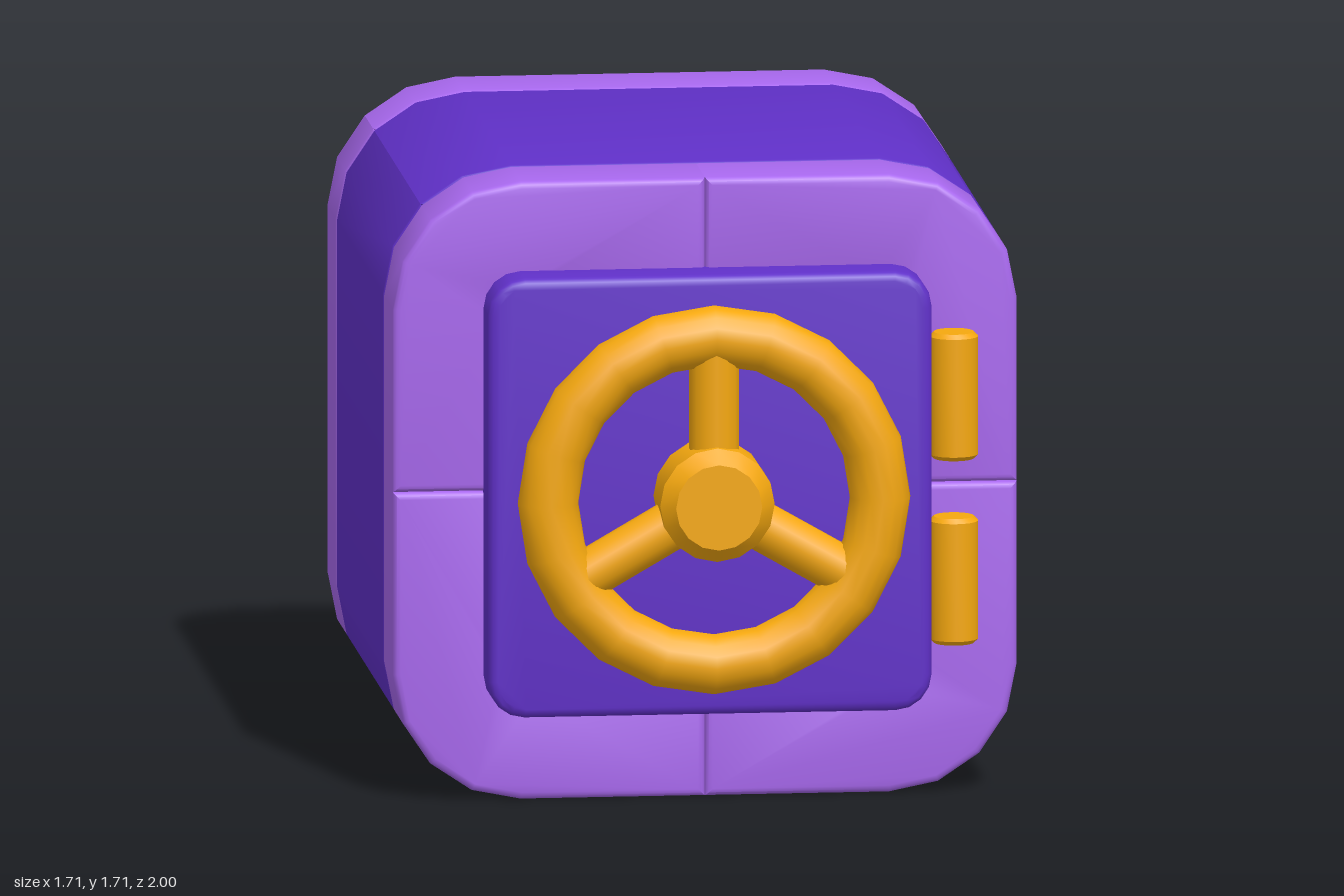
import * as THREE from 'three';
import { toCreasedNormals } from 'three/addons/utils/BufferGeometryUtils.js';

const HALF = 0.855, RADIUS = 0.35, CY = 0.855;
const dark = new THREE.MeshStandardMaterial({ color: 0x6030c8 });
const light = new THREE.MeshStandardMaterial({ color: 0xa868ee });
const gold = new THREE.MeshStandardMaterial({ color: 0xf5a80f });

function add(parent, name, geometry, material) {
  const mesh = new THREE.Mesh(geometry, material);
  mesh.name = name;
  parent.add(mesh);
  return mesh;
}

// Points on one rounded corner of a square; the angles stay within one quadrant
function corner(half, radius, fromDeg, toDeg, steps) {
  const mid = THREE.MathUtils.degToRad((fromDeg + toDeg) / 2);
  const cx = Math.sign(Math.cos(mid)) * (half - radius);
  const cy = Math.sign(Math.sin(mid)) * (half - radius);
  const pts = [];
  for (let i = 0; i <= steps; i++) {
    const a = THREE.MathUtils.degToRad(fromDeg + ((toDeg - fromDeg) * i) / steps);
    pts.push(new THREE.Vector2(cx + radius * Math.cos(a), cy + radius * Math.sin(a)));
  }
  return pts;
}

// Slab between two depths whose bevel is cut into the outline
function slab(points, z0, z1, bevel) {
  const geo = new THREE.ExtrudeGeometry(new THREE.Shape(points), {
    depth: z1 - z0 - 2 * bevel, bevelThickness: bevel, bevelSize: bevel,
    bevelOffset: -bevel, bevelSegments: 3,
  });
  geo.translate(0, 0, z0 + bevel);
  return toCreasedNormals(geo, 0.65);
}

function roundedSquare(half, radius, steps) {
  return [0, 90, 180, 270].flatMap((a) => corner(half, radius, a, a + 90, steps));
}

// Four equal pieces around the z axis
function ring(parent, name, points, z0, z1, bevel, material) {
  const group = new THREE.Group();
  group.name = name;
  group.position.y = CY;
  const geo = slab(points, z0, z1, bevel);
  for (let i = 0; i < 4; i++) {
    add(group, name + 'Piece', geo, material).rotation.z = (i * Math.PI) / 2;
  }
  parent.add(group);
}

// One side with mitred ends
function mitredSide(inner, innerRadius) {
  return [
    ...corner(HALF, RADIUS, 45, 90, 2), ...corner(HALF, RADIUS, 90, 135, 2),
    ...corner(inner, innerRadius, 135, 90, 2), ...corner(inner, innerRadius, 90, 45, 2),
  ];
}

// One quarter, split at the middle of the sides
function quarter(inner, innerRadius) {
  return [
    new THREE.Vector2(HALF, 0), ...corner(HALF, RADIUS, 0, 90, 4), new THREE.Vector2(0, HALF),
    new THREE.Vector2(0, inner), ...corner(inner, innerRadius, 90, 0, 4), new THREE.Vector2(inner, 0),
  ];
}

export function createModel() {
  const model = new THREE.Group();
  model.name = 'safe';

  // Shell and its two rims
  ring(model, 'body', mitredSide(0.58, 0.1), -0.75, 0.408, 0.012, dark);
  ring(model, 'backRim', mitredSide(0.6, 0.08), -1, -0.75, 0.025, light);
  ring(model, 'frontRim', quarter(0.55, 0.08), 0.408, 0.66, 0.02, light);

  // Back panel and door
  add(model, 'backPanel', slab(roundedSquare(0.62, 0.08, 4), -0.98, -0.7, 0.01), dark).position.y = CY;
  add(model, 'door', slab(roundedSquare(0.608, 0.1, 4), 0.5, 0.79, 0.025), dark).position.y = CY;

  // Hinges
  const hingeProfile = [[0, -0.175], [0.055, -0.175], [0.067, -0.163], [0.067, 0.163], [0.055, 0.175], [0, 0.175]]
    .map(([x, y]) => new THREE.Vector2(x, y));
  const hingeGeo = toCreasedNormals(new THREE.LatheGeometry(hingeProfile, 20), 0.6);
  for (const side of [1, -1]) {
    add(model, side > 0 ? 'upperHinge' : 'lowerHinge', hingeGeo, gold)
      .position.set(0.673, CY + side * 0.255, 0.727);
  }

  // Hand wheel
  const wheel = new THREE.Group();
  wheel.name = 'handWheel';
  wheel.position.set(0, CY + 0.003, 0.872);
  model.add(wheel);
  add(wheel, 'wheelRim', new THREE.TorusGeometry(0.455, 0.083, 16, 20), gold);

  const spokeGeo = new THREE.CylinderGeometry(0.068, 0.068, 0.43, 14);
  spokeGeo.translate(0, 0.215, 0);
  for (let i = 0; i < 3; i++) {
    add(wheel, 'spoke', spokeGeo, gold).rotation.z = (i * Math.PI * 2) / 3;
  }

  // Hub with chamfered cap
  const hubProfile = [[0, -0.1], [0.157, -0.1], [0.157, 0.085], [0.118, 0.128], [0, 0.128]]
    .map(([x, y]) => new THREE.Vector2(x, y));
  const hubGeo = toCreasedNormals(new THREE.LatheGeometry(hubProfile, 16), 0.6);
  add(wheel, 'hub', hubGeo, gold).rotation.x = Math.PI / 2;

  return model;
}
